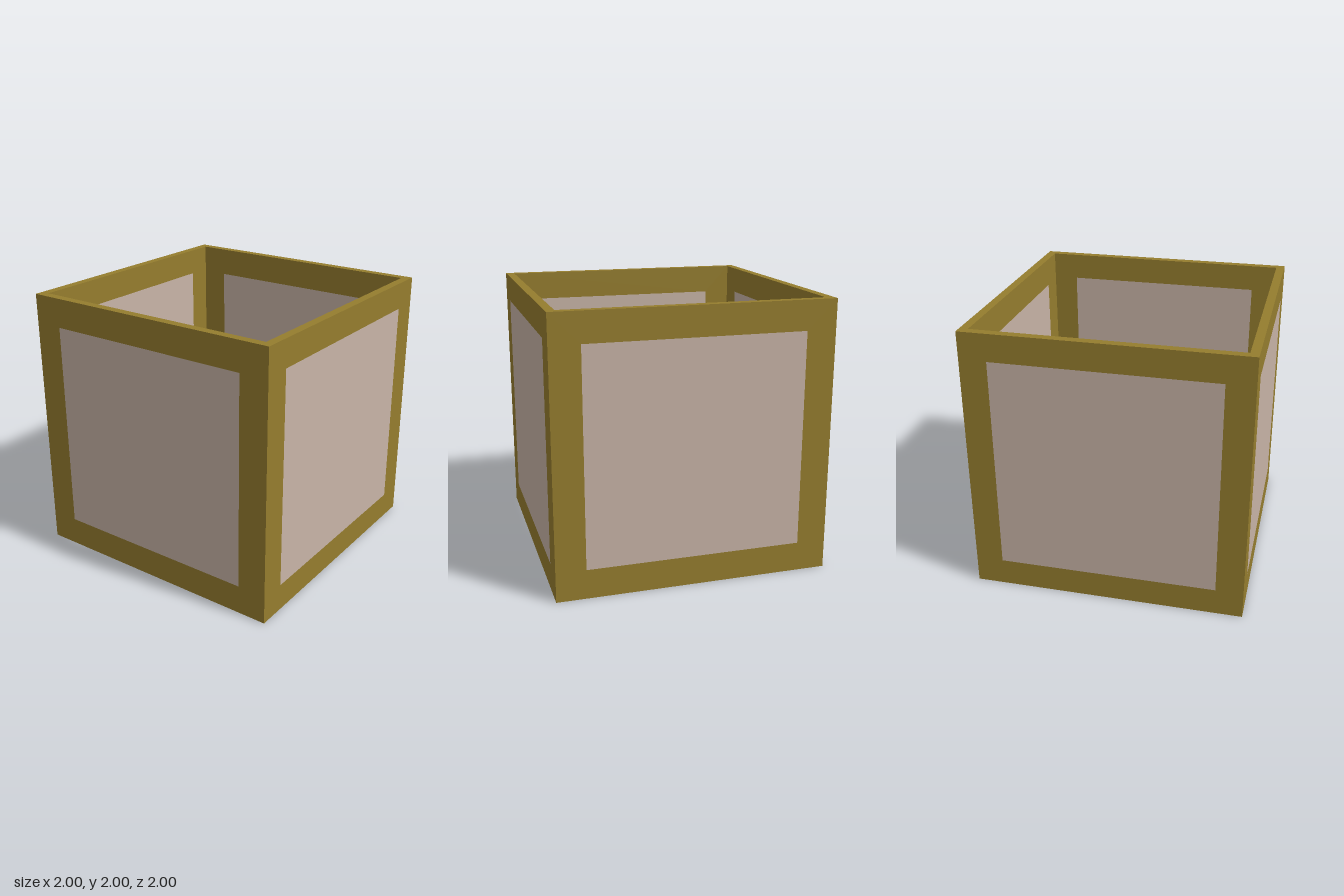
import * as THREE from 'three';

const WALL = 0.0625; // wall thickness

function rect(w, h, Kind = THREE.Shape) {
  return new Kind([
    new THREE.Vector2(-w, -h), new THREE.Vector2(w, -h),
    new THREE.Vector2(w, h), new THREE.Vector2(-w, h),
  ]);
}

// Extrudes a wall piece with its outer face at z = 1, narrowing inwards so the corners mitre
function mitred(shape) {
  const geo = new THREE.ExtrudeGeometry(shape, { depth: WALL, bevelEnabled: false });
  geo.translate(0, 1, 1 - WALL);
  const pos = geo.attributes.position;
  for (let i = 0; i < pos.count; i++) pos.setX(i, pos.getX(i) * pos.getZ(i));
  geo.computeVertexNormals();
  return geo;
}

export function createModel() {
  const model = new THREE.Group();
  model.name = 'openBox';
  const frameMat = new THREE.MeshStandardMaterial({ color: 0x957d2e });
  const panelMat = new THREE.MeshStandardMaterial({ color: 0xc8b4a7 });

  // Four walls around an open top and bottom, each a frame with a flush panel
  ['front', 'left', 'back', 'right'].forEach((side, i) => {
    const half = i % 2 ? 0.8 : 0.785; // side panels are slightly larger
    const wall = new THREE.Group();
    wall.name = `${side}Wall`;

    const border = rect(1, 1);
    border.holes.push(rect(half, half, THREE.Path));
    const frame = new THREE.Mesh(mitred(border), frameMat);
    frame.name = `${side}Frame`;

    const panel = new THREE.Mesh(mitred(rect(half, half)), panelMat);
    panel.name = `${side}Panel`;

    wall.add(frame, panel);
    wall.rotation.y = i * Math.PI / 2;
    model.add(wall);
  });
  return model;
}
